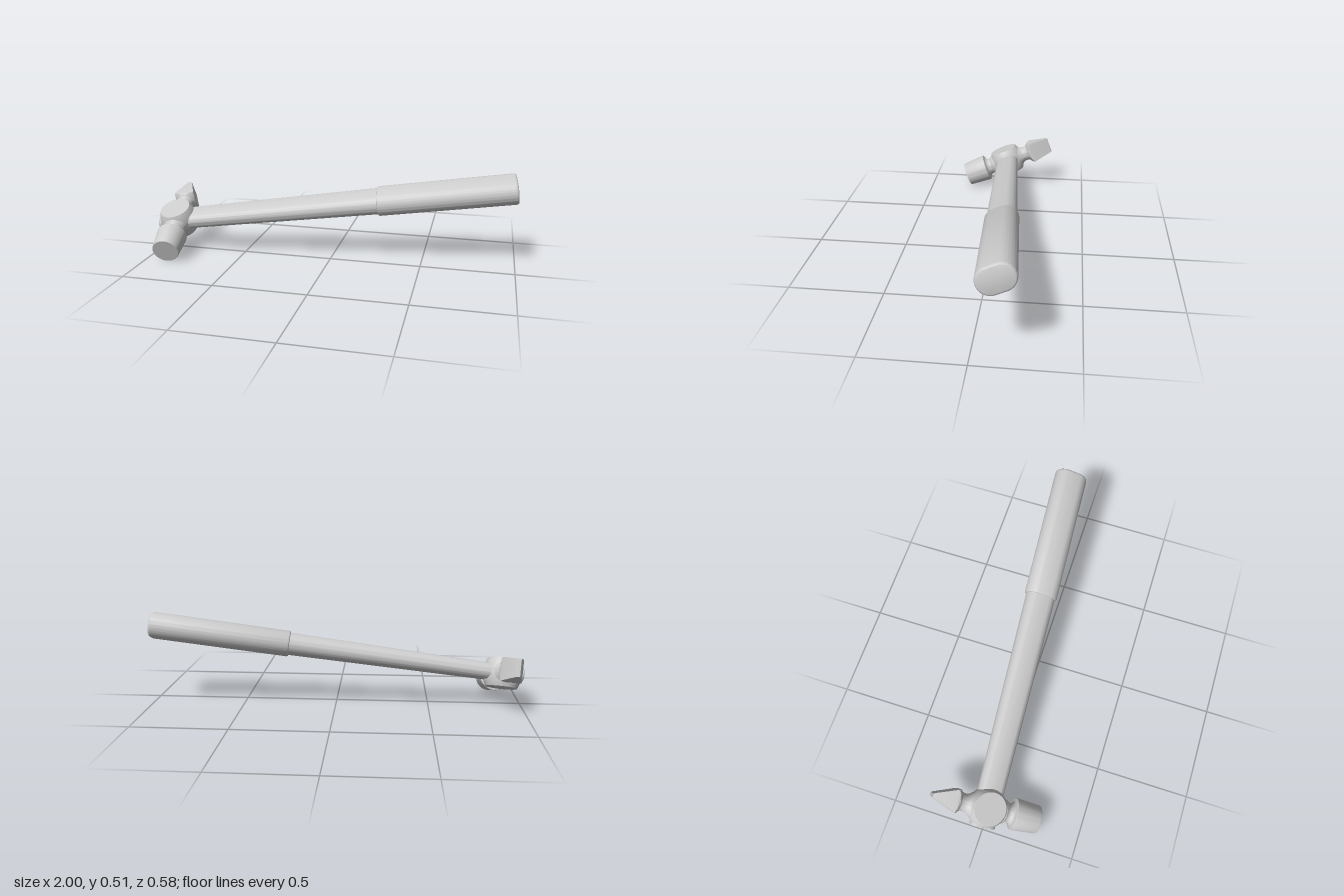
import * as THREE from 'three';
import { toCreasedNormals } from 'three/addons/utils/BufferGeometryUtils.js';

const SEG = 64;
const material = new THREE.MeshStandardMaterial({ color: 0xcccccc });

function part(name, geometry, crease = 0.45) {
  const mesh = new THREE.Mesh(toCreasedNormals(geometry, crease), material);
  mesh.name = name;
  return mesh;
}

// Skin closed rings along +z; each ring is { z, at(angle) -> [x, y] }.
function loft(rings) {
  const pos = [], index = [];
  for (const { z, at } of rings) {
    for (let i = 0; i < SEG; i++) {
      const [x, y] = at((i / SEG) * Math.PI * 2);
      pos.push(x, y, z);
    }
  }
  for (let r = 0; r < rings.length - 1; r++) {
    for (let i = 0; i < SEG; i++) {
      const a = r * SEG + i, b = r * SEG + ((i + 1) % SEG);
      index.push(a, b, b + SEG, a, b + SEG, a + SEG);
    }
  }
  // End caps
  const last = (rings.length - 1) * SEG, c0 = pos.length / 3;
  pos.push(0, 0, rings[0].z, 0, 0, rings[rings.length - 1].z);
  for (let i = 0; i < SEG; i++) {
    const j = (i + 1) % SEG;
    index.push(c0, j, i, c0 + 1, last + i, last + j);
  }
  const g = new THREE.BufferGeometry();
  g.setAttribute('position', new THREE.Float32BufferAttribute(pos, 3));
  g.setIndex(index);
  return g;
}

// Oval section: two half circles of radius r, set apart by 2a.
const oval = (z, a, r) => ({
  z,
  at: (t) => {
    const c = Math.cos(t);
    return [r * c + (Math.abs(c) < 1e-6 ? 0 : Math.sign(c) * a), r * Math.sin(t)];
  },
});

// Rectangle w by h (half sizes), its corners cut by a circle of radius R.
const cutRect = (z, w, h, R) => ({
  z,
  at: (t) => {
    const c = Math.cos(t), s = Math.sin(t);
    const k = 1 / Math.max(Math.abs(c), Math.abs(s));
    const f = Math.min(1, R / Math.hypot(w * c * k, h * s * k));
    return [w * c * k * f, h * s * k * f];
  },
});

const lathe = (points) =>
  new THREE.LatheGeometry(points.map(([r, y]) => new THREE.Vector2(r, y)), SEG);

export function createModel() {
  const hammer = new THREE.Group();
  hammer.name = 'hammer';

  // Local frame: x along the handle, y through the flat cheeks, z to the face.
  const along = new THREE.Vector3(0.988, 0.14, -0.065).normalize();
  const face = new THREE.Vector3(0.09, -0.367, 0.926);
  face.addScaledVector(along, -face.dot(along)).normalize();
  const up = new THREE.Vector3().crossVectors(face, along);
  hammer.quaternion.setFromRotationMatrix(new THREE.Matrix4().makeBasis(along, up, face));
  hammer.position.set(-0.9, 0.172, 0.003);

  // Barrel-shaped eye with flat discs above and below
  const barrel = [[0, -0.078]];
  for (let i = 0; i <= 16; i++) {
    const y = -0.078 + (0.156 * i) / 16;
    barrel.push([0.105 - 0.021 * (y / 0.078) ** 2, y]);
  }
  barrel.push([0, 0.078]);
  hammer.add(part('headEye', lathe(barrel)));

  // Round striking face with its waisted neck
  const poll = [[0.075, 0.07], [0.064, 0.088]];
  for (let i = 0; i <= 10; i++) {
    const t = -0.9 + (i / 10) * 2.3;
    poll.push([0.076 - 0.026 * Math.cos(t), 0.118 + 0.024 * Math.sin(t)]);
  }
  poll.push([0.079, 0.143], [0.083, 0.146], [0.083, 0.15], [0.0735, 0.278], [0.071, 0.283], [0, 0.283]);
  hammer.add(part('strikingFace', lathe(poll).rotateX(Math.PI / 2)));

  // Wedge peen: round neck, chamfered square base, tapering to a blunt edge
  const peen = loft([
    cutRect(0.06, 0.09, 0.09, 0.078),
    cutRect(0.085, 0.09, 0.09, 0.064),
    cutRect(0.098, 0.09, 0.09, 0.054),
    cutRect(0.108, 0.09, 0.09, 0.048),
    cutRect(0.12, 0.09, 0.09, 0.045),
    cutRect(0.135, 0.09, 0.09, 0.046),
    cutRect(0.146, 0.09, 0.09, 0.051),
    cutRect(0.154, 0.06, 0.063, 0.06),
    cutRect(0.162, 0.06, 0.063, 0.072),
    cutRect(0.17, 0.059, 0.063, 0.082),
    cutRect(0.18, 0.055, 0.062, 0.09),
    cutRect(0.288, 0.014, 0.048, 0.09),
    cutRect(0.296, 0.008, 0.046, 0.09),
  ]);
  hammer.add(part('peen', peen.rotateY(Math.PI), 0.4));

  // Oval shaft passing through the eye
  const shaft = loft([
    oval(-0.102, 0.026, 0.036),
    oval(-0.096, 0.027, 0.041),
    oval(0.1, 0.027, 0.044),
    oval(1.18, 0.025, 0.057),
  ]);
  hammer.add(part('shaft', shaft.rotateY(Math.PI / 2)));

  // Thicker grip with eased ends
  const grip = loft([
    oval(1.162, 0.025, 0.056),
    oval(1.165, 0.025, 0.063),
    oval(1.172, 0.025, 0.066),
    oval(1.89, 0.025, 0.068),
    oval(1.899, 0.025, 0.066),
    oval(1.904, 0.025, 0.061),
    oval(1.905, 0.025, 0.058),
  ]);
  hammer.add(part('grip', grip.rotateY(Math.PI / 2), 0.6));

  const model = new THREE.Group();
  model.name = 'model';
  model.add(hammer);
  return model;
}
